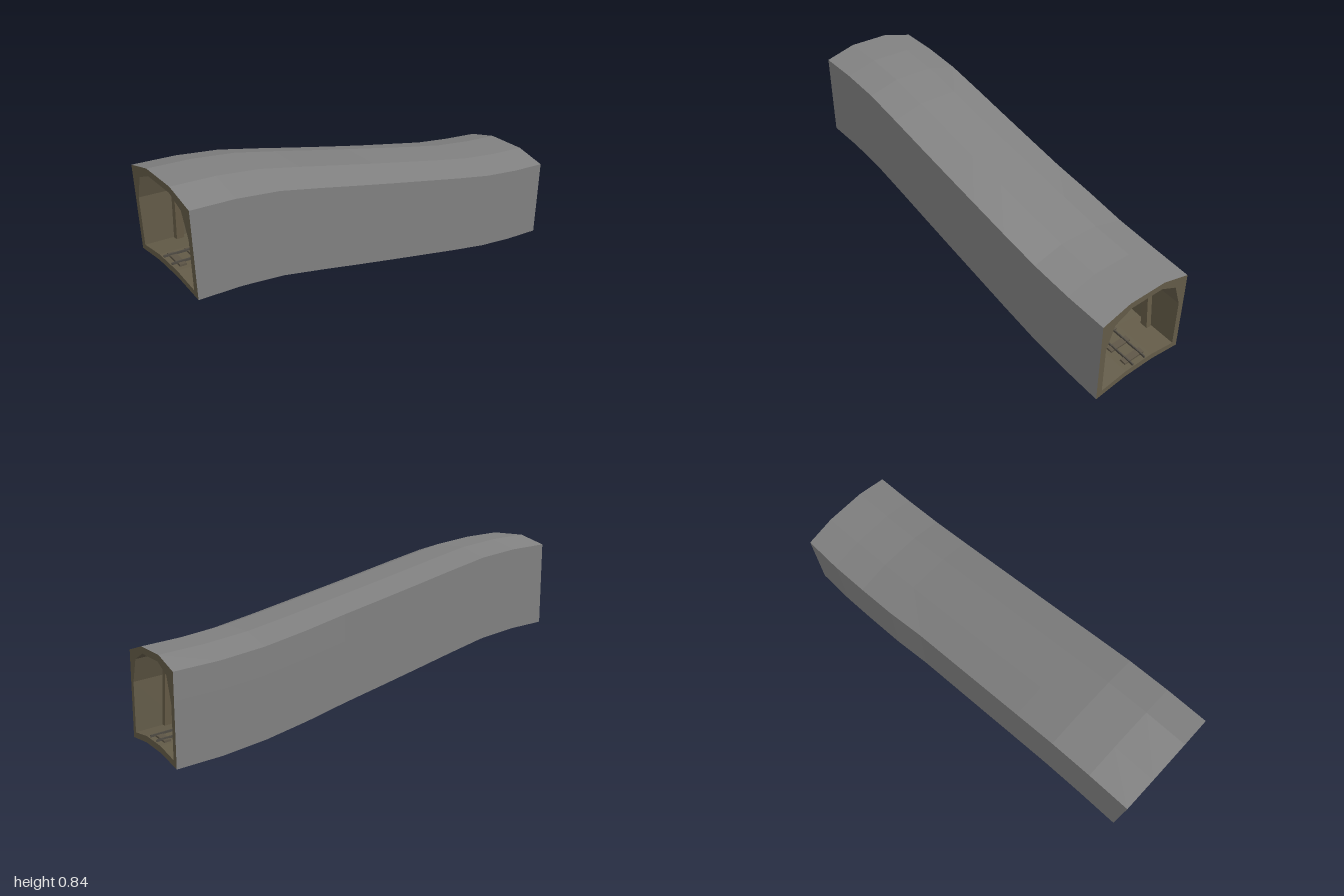
import * as THREE from 'three';

// Tunnel stations along x, and the ground height at each one
const XS = [-1, -0.8, -0.6, -0.4, -0.2, 0, 0.2, 0.4, 0.6, 0.8, 1];
const HS = [0.4, 0.385, 0.355, 0.305, 0.253, 0.202, 0.152, 0.102, 0.055, 0.022, 0];

// Cross-sections as [z, y], from the back foot over the roof to the front foot, then the ground
const mirror = (half, floor) => {
  const flip = (list) => [...list].reverse().map(([z, y]) => [-z, y]);
  return [...half, ...flip(half), [-floor[0], floor[1]], floor];
};
const OUTER = mirror([[-0.25, 0], [-0.25, 0.28], [-0.25, 0.4], [-0.1, 0.44]], [-0.085, 0.02]);
const INNER = mirror([[-0.22, 0.03], [-0.22, 0.26], [-0.18, 0.37], [-0.09, 0.41]], [-0.08, 0.05]);

function height(x) {
  const i = Math.min(XS.length - 2, Math.max(0, Math.floor((x + 1) / 0.2)));
  return HS[i] + (HS[i + 1] - HS[i]) * (x - XS[i]) / 0.2;
}

// Place a profile at every station; the back wall swells slightly near the low end
function rings(profile, swell = 0) {
  return XS.map((x, i) => profile.map(([z, y], j) =>
    [x, y + HS[i], z - (swell && j < 3 && x > 0.3 && x < 0.9 ? swell : 0)]));
}

// Flat-faced geometry from a list of four-cornered faces
function fromQuads(quads) {
  const pos = [];
  for (const [a, b, c, d] of quads) pos.push(...a, ...b, ...c, ...a, ...c, ...d);
  const geo = new THREE.BufferGeometry();
  geo.setAttribute('position', new THREE.Float32BufferAttribute(pos, 3));
  geo.computeVertexNormals();
  return geo;
}

// Skin a row of closed rings
function loft(rows, inward = false) {
  const quads = [];
  for (let i = 0; i < rows.length - 1; i++) {
    const n = rows[i].length;
    for (let j = 0; j < n; j++) {
      const k = (j + 1) % n;
      const q = [rows[i][j], rows[i][k], rows[i + 1][k], rows[i + 1][j]];
      quads.push(inward ? q.reverse() : q);
    }
  }
  return quads;
}

// Ring-shaped end face between the outer and inner sections
function rim(outer, inner, flip) {
  return outer.map((p, j) => {
    const k = (j + 1) % outer.length;
    const q = [p, outer[k], inner[k], inner[j]];
    return flip ? q.reverse() : q;
  });
}

export function createModel() {
  const group = new THREE.Group();
  group.name = 'mineTunnel';
  const material = (name, color) => new THREE.MeshStandardMaterial({ name, color });
  const stone = material('grey stone', 0x808080);
  const earth = material('brown earth', 0x625a47);
  const wood = material('timber', 0x665c47);
  const tieWood = material('tie timber', 0x5c5445);
  const iron = material('rail iron', 0x4e4a42);
  const base = material('pale underside', 0xf0f0f0);
  const add = (name, geo, mat, parent = group) => {
    const mesh = new THREE.Mesh(geo, mat);
    mesh.name = name;
    parent.add(mesh);
    return mesh;
  };

  // Outer shell, inner walls with both end faces, and the flat underside
  const outer = rings(OUTER, 0.008);
  const inner = rings(INNER);
  const last = XS.length - 1;
  add('outerShell', fromQuads(loft(outer)), stone);
  add('innerWalls', fromQuads(loft(inner, true)), earth);
  add('endFaces', fromQuads([
    ...rim(outer[last], inner[last], false),
    ...rim(outer[0], inner[0], true),
  ]), earth);
  const under = [];
  for (let i = 0; i < last; i++) {
    under.push([outer[i][7], outer[i][0], outer[i + 1][0], outer[i + 1][7]]);
  }
  add('underside', fromQuads(under), base);

  // Timber support frames
  const half = [[0.215, 0.03], [0.181, 0.345], [0.095, 0.395]];
  const halfIn = [[0.187, 0.03], [0.157, 0.315], [0.085, 0.373]];
  const flip = (list) => [...list].reverse().map(([z, y]) => [-z, y]);
  const outline = [...half, ...flip(half), ...halfIn.map(([z, y]) => [-z, y]), ...[...halfIn].reverse()];
  const frameGeo = new THREE.ExtrudeGeometry(
    new THREE.Shape(outline.map(([z, y]) => new THREE.Vector2(z, y))),
    { depth: 0.035, bevelEnabled: false });
  frameGeo.translate(0, 0, -0.0175).rotateY(Math.PI / 2);
  const frames = new THREE.Group();
  frames.name = 'supportFrames';
  group.add(frames);
  for (const x of [-0.85, -0.425, 0, 0.425, 0.86]) {
    add('supportFrame', frameGeo, wood, frames).position.set(x, height(x), 0);
  }

  // Track: ties following the slope, with two rails on top
  const track = new THREE.Group();
  track.name = 'track';
  group.add(track);
  const tieGeo = new THREE.BoxGeometry(0.03, 0.01, 0.116);
  for (let i = 0; i < 25; i++) {
    const x = -0.96 + i * 0.08;
    const tie = add('tie', tieGeo, tieWood, track);
    tie.position.set(x, height(x) + 0.054, 0);
    tie.rotation.z = Math.atan((height(x + 0.03) - height(x - 0.03)) / 0.06);
  }
  for (const z of [-0.036, 0.036]) {
    const section = [[z - 0.003, 0.056], [z - 0.003, 0.066], [z + 0.003, 0.066], [z + 0.003, 0.056]];
    const rows = rings(section);
    const ends = [[...rows[0]].reverse(), rows[last]];
    add('rail', fromQuads([...loft(rows), ...ends]), iron, track);
  }

  group.position.z = 0.004;
  return group;
}
